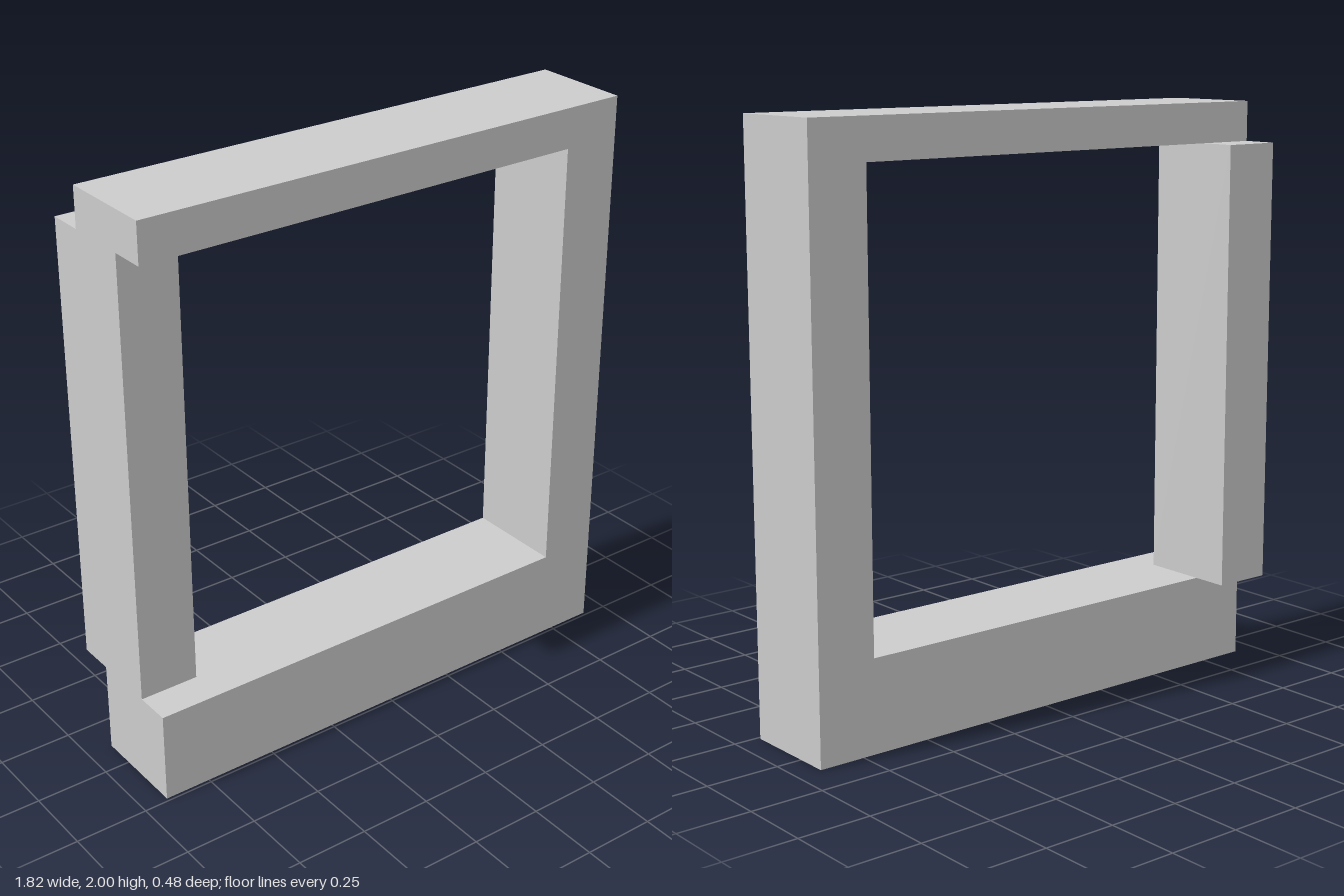
import * as THREE from 'three';

export function createModel() {
  const group = new THREE.Group();
  const material = new THREE.MeshStandardMaterial({ color: 0xcccccc, flatShading: true });

  // Box given by its minimum and maximum corners
  const beam = (name, [x0, y0, z0], [x1, y1, z1]) => {
    const mesh = new THREE.Mesh(new THREE.BoxGeometry(x1 - x0, y1 - y0, z1 - z0), material);
    mesh.position.set((x0 + x1) / 2, (y0 + y1) / 2, (z0 + z1) / 2);
    mesh.name = name;
    group.add(mesh);
  };

  const W = 0.912, front = 0.238, back = -0.112;
  const sillTop = 0.318, lintelBottom = 1.862, inner = 0.705;
  const setback = 0.126; // the right post is pushed out behind the frame

  beam('sill', [-W, 0, back], [W, sillTop, front]);
  beam('lintel', [-W, lintelBottom, back], [W, 2, front]);
  beam('leftPost', [inner, sillTop, back], [W, lintelBottom, front]);
  beam('rightPost', [-W, sillTop, back - setback], [-inner, lintelBottom, front - setback]);

  return group;
}
